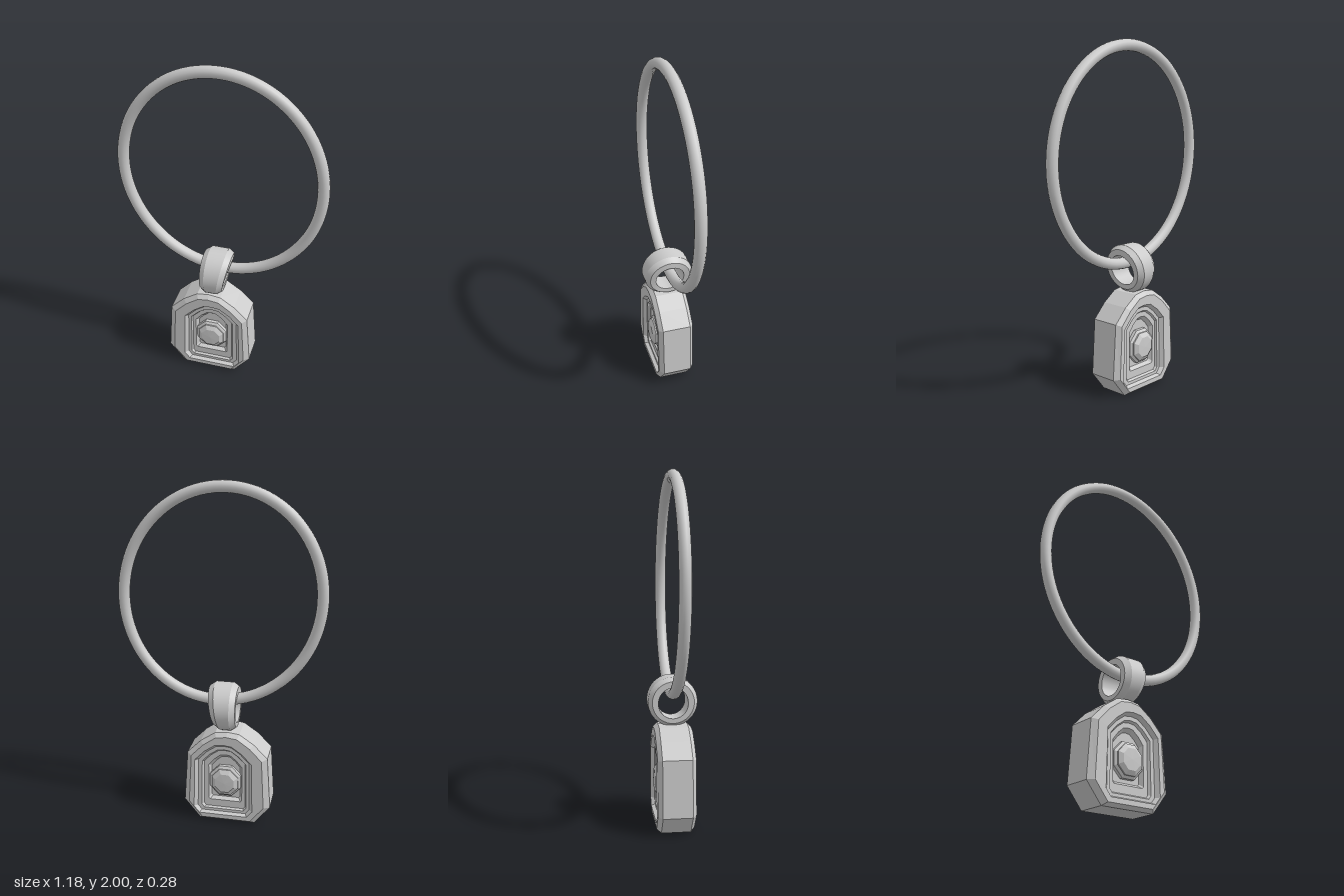
import * as THREE from 'three';
import { toCreasedNormals } from 'three/addons/utils/BufferGeometryUtils.js';

// Skin a list of closed rings; each ring runs counter-clockwise seen from its travel direction
function loft(rings) {
  const n = rings[0].length;
  const pos = rings.flat().flatMap((p) => [p.x, p.y, p.z]);
  const index = [];
  for (let i = 0; i < rings.length - 1; i++) {
    for (let j = 0; j < n; j++) {
      const a = i * n + j, b = i * n + ((j + 1) % n);
      index.push(a, b, b + n, a, b + n, a + n);
    }
  }
  const g = new THREE.BufferGeometry();
  g.setAttribute('position', new THREE.Float32BufferAttribute(pos, 3));
  g.setIndex(index);
  g.computeVertexNormals();
  return g;
}

// Repeat front rings on the back, running from back centre to front centre
function bothFaces(front) {
  const back = front.map((r) => r.map((p) => new THREE.Vector3(p.x, p.y, -p.z))).reverse();
  return loft([...back, ...front]);
}

// Arched outline with chamfered lower corners, slightly flared towards the bottom
function arch(cx, w, flare, bottom, chamfer, shoulder, top, z) {
  const rise = top - shoulder;
  const half = [
    [w + flare - chamfer * 0.8, bottom],
    [w + flare, bottom + chamfer],
    [w, shoulder],
    [w * 0.66, shoulder + rise * 0.55],
    [w * 0.3, shoulder + rise * 0.94],
  ];
  const pts = [...half, [0, top], ...half.map(([x, y]) => [-x, y]).reverse()];
  return pts.map(([x, y]) => new THREE.Vector3(cx + x, y, z));
}

function octagon(cx, cy, r, z) {
  return Array.from({ length: 8 }, (_, k) => {
    const a = ((k + 0.5) * Math.PI) / 4;
    const s = r / Math.cos(Math.PI / 8);
    return new THREE.Vector3(cx + s * Math.cos(a), cy + s * 1.05 * Math.sin(a), z);
  });
}

// Tilted oval path of the large ring
class OvalCurve extends THREE.Curve {
  getPoint(t, target = new THREE.Vector3()) {
    const a = t * Math.PI * 2;
    return target
      .set(0.557 * Math.cos(a), 0.61 * Math.sin(a), 0)
      .applyAxisAngle(new THREE.Vector3(0, 0, 1), 0.2)
      .add(new THREE.Vector3(-0.002, 1.359, 0));
  }
}

export function createModel() {
  const group = new THREE.Group();
  const smooth = new THREE.MeshStandardMaterial({ color: 0xcccccc });
  const faceted = new THREE.MeshStandardMaterial({ color: 0xcccccc, flatShading: true });
  const add = (name, geometry, material) => {
    const mesh = new THREE.Mesh(geometry, material);
    mesh.name = name;
    group.add(mesh);
  };

  // Large oval ring
  add('ring', new THREE.TubeGeometry(new OvalCurve(), 96, 0.033, 14, true), smooth);

  // Loop around the ring, narrowing on one side towards the pendant
  const loop = [];
  const segments = 40;
  for (let i = 0; i <= segments; i++) {
    const a = (i / segments) * Math.PI * 2;
    const up = Math.cos(a);
    const left = -0.103, right = 0.042 + 0.022 * up;
    const outer = 0.141, inner = 0.084 + 0.008 * Math.max(0, -up);
    const section = [
      [left, inner], [right, inner], [right, outer - 0.022],
      [right - 0.032, outer], [left + 0.032, outer], [left, outer - 0.022],
    ];
    loop.push(section.map(([x, r]) => new THREE.Vector3(x, 0.714 + r * up, r * Math.sin(a))));
  }
  add('loop', toCreasedNormals(loft(loop), 0.45), smooth);

  // Pendant body: bevelled rim, then stepped arched recesses on both faces
  add('pendantBody', bothFaces([
    arch(-0.055, 0.237, 0.021, 0, 0.115, 0.435, 0.585, 0.083),
    arch(-0.053, 0.208, 0.016, 0.018, 0.1, 0.425, 0.562, 0.107),
    arch(-0.034, 0.168, 0.008, 0.045, 0.04, 0.4, 0.51, 0.107),
    arch(-0.034, 0.15, 0.006, 0.055, 0.03, 0.395, 0.493, 0.085),
    arch(-0.036, 0.13, 0.004, 0.072, 0.02, 0.385, 0.47, 0.085),
    arch(-0.038, 0.122, 0.002, 0.08, 0.015, 0.38, 0.46, 0.072),
    arch(-0.042, 0.1, 0, 0.125, 0.01, 0.355, 0.432, 0.072),
    arch(-0.042, 0.085, 0, 0.14, 0.01, 0.345, 0.41, 0.05),
    arch(-0.042, 0, 0, 0.257, 0, 0.257, 0.257, 0.05),
  ]), faceted);

  // Stepped octagonal stud in the middle of each face
  const stud = [[0.092, 0.045], [0.092, 0.07], [0.078, 0.08], [0.078, 0.088], [0.055, 0.104], [0, 0.106]];
  add('stud', bothFaces(stud.map(([r, z]) => octagon(-0.042, 0.257, r, z))), faceted);

  return group;
}
